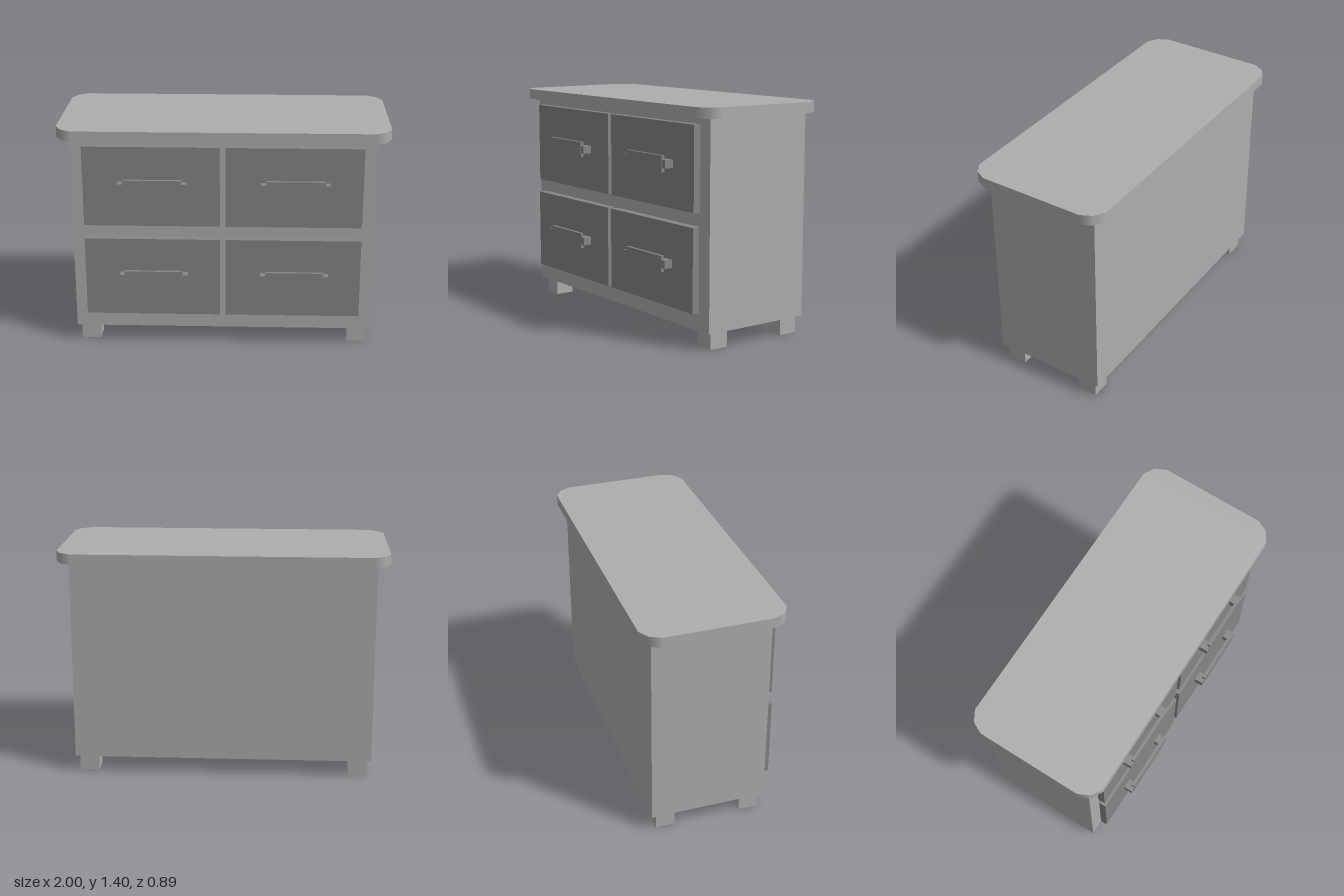
import * as THREE from 'three';

const bodyMaterial = new THREE.MeshStandardMaterial({ color: 0xadadad });
const drawerMaterial = new THREE.MeshStandardMaterial({ color: 0x858585 });

// Box given by its minimum and maximum corners
function box(name, material, [x0, y0, z0], [x1, y1, z1]) {
  const mesh = new THREE.Mesh(new THREE.BoxGeometry(x1 - x0, y1 - y0, z1 - z0), material);
  mesh.name = name;
  mesh.position.set((x0 + x1) / 2, (y0 + y1) / 2, (z0 + z1) / 2);
  return mesh;
}

// Slab with rounded corners of two middle facets
function createTop() {
  const halfDepth = 0.434;
  const inX = 0.9;
  const inZ = halfDepth - 0.108;
  const corner = [[1, inZ], [0.965, halfDepth - 0.038], [inX, halfDepth]];
  const mirrored = [...corner].reverse().map(([x, y]) => [-x, y]);
  const half = [...corner, ...mirrored];
  const outline = [...half, ...half.map(([x, y]) => [-x, -y])];
  const shape = new THREE.Shape(outline.map(([x, y]) => new THREE.Vector2(x, y)));
  const geometry = new THREE.ExtrudeGeometry(shape, { depth: 0.064, bevelEnabled: false });
  geometry.rotateX(-Math.PI / 2);

  // Smooth the rim: its normals point away from each corner's centre
  const { position, normal } = geometry.attributes;
  const n = new THREE.Vector3();
  for (let i = 0; i < position.count; i++) {
    if (Math.abs(normal.getY(i)) > 0.5) continue;
    const x = position.getX(i);
    const z = position.getZ(i);
    n.set(
      Math.sign(x) * Math.max(0, Math.abs(x) - inX),
      0,
      Math.sign(z) * Math.max(0, Math.abs(z) - inZ)
    ).normalize();
    normal.setXYZ(i, n.x, n.y, n.z);
  }

  const top = new THREE.Mesh(geometry, bodyMaterial);
  top.name = 'tableTop';
  top.position.set(0, 1.338, -0.011);
  return top;
}

// Drawer origin: centre of the panel's front face
function createDrawer(name, x, y, z) {
  const drawer = new THREE.Group();
  drawer.name = name;
  drawer.position.set(x, y, z);
  drawer.add(
    box('drawerPanel', drawerMaterial, [-0.413, -0.25, -0.045], [0.413, 0.25, 0]),
    box('drawerBox', drawerMaterial, [-0.395, -0.235, -0.1], [0.395, 0.249, -0.045])
  );
  // Handle: a wide grip carried by a post at each end
  const handle = new THREE.Group();
  handle.name = 'handle';
  handle.position.set(0.008, 0.01, 0);
  handle.add(box('grip', drawerMaterial, [-0.176, -0.048, 0.035], [0.176, 0.048, 0.055]));
  for (const side of [-1, 1]) {
    const post = box('handlePost', drawerMaterial, [-0.03, -0.024, -0.005], [0.03, 0.024, 0.054]);
    post.position.x = side * 0.178;
    handle.add(post);
  }
  drawer.add(handle);
  return drawer;
}

export function createModel() {
  const dresser = new THREE.Group();
  dresser.name = 'dresser';

  dresser.add(box('cabinet', bodyMaterial, [-0.922, 0.102, -0.38], [0.922, 1.338, 0.334]));
  dresser.add(createTop());

  // Four short block feet
  for (const x of [-0.839, 0.839]) {
    for (const z of [-0.29, 0.244]) {
      dresser.add(box('foot', bodyMaterial, [x - 0.06, 0, z - 0.06], [x + 0.06, 0.102, z + 0.06]));
    }
  }

  // Two rows of two drawers
  for (const [row, y, z] of [['upper', 1.048, 0.386], ['lower', 0.463, 0.391]]) {
    dresser.add(createDrawer(row + 'RightDrawer', -0.432, y, z));
    dresser.add(createDrawer(row + 'LeftDrawer', 0.428, y, z));
  }
  return dresser;
}
